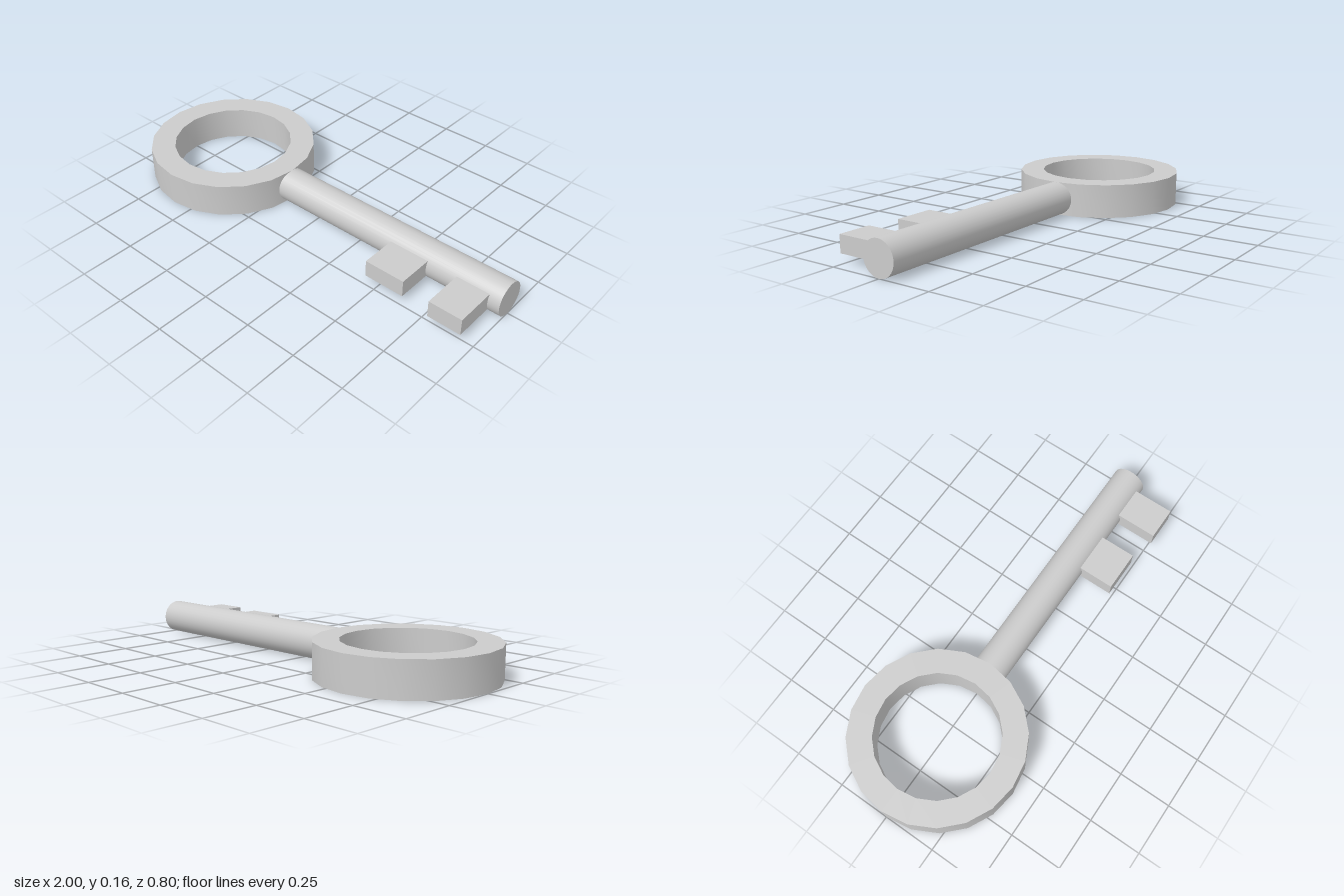
import * as THREE from 'three';
import { toCreasedNormals } from 'three/addons/utils/BufferGeometryUtils.js';

const HEIGHT = 0.16;
const MID = HEIGHT / 2;

export function createModel() {
  const key = new THREE.Group();
  key.name = 'key';
  const material = new THREE.MeshStandardMaterial({ color: 0xcccccc });

  const add = (name, geometry, x, y, z) => {
    const mesh = new THREE.Mesh(geometry, material);
    mesh.name = name;
    mesh.position.set(x, y, z);
    key.add(mesh);
    return mesh;
  };

  // Ring handle: rectangular section turned about a vertical axis
  const outer = 0.401, inner = 0.286;
  const section = [[outer, 0], [outer, HEIGHT], [inner, HEIGHT], [inner, 0], [outer, 0]]
    .map(([r, y]) => new THREE.Vector2(r, y));
  const ring = toCreasedNormals(new THREE.LatheGeometry(section, 20), Math.PI / 4);
  add('ringHandle', ring, -0.599, 0, 0);

  // Round shaft, its inner end sunk into the ring wall
  const start = -0.23, end = 1;
  const shaft = new THREE.CylinderGeometry(MID, MID, end - start, 32).rotateZ(-Math.PI / 2);
  add('shaft', shaft, (start + end) / 2, MID, 0);

  // Two teeth on the front side: [x from, x to, z reach]
  const root = 0.04;
  const teeth = [[0.445, 0.64, 0.24], [0.785, 0.945, 0.265]];
  teeth.forEach(([x0, x1, reach], i) => {
    const box = new THREE.BoxGeometry(x1 - x0, 0.08, reach - root);
    add(i === 0 ? 'innerTooth' : 'outerTooth', box, (x0 + x1) / 2, MID, (root + reach) / 2);
  });

  return key;
}
